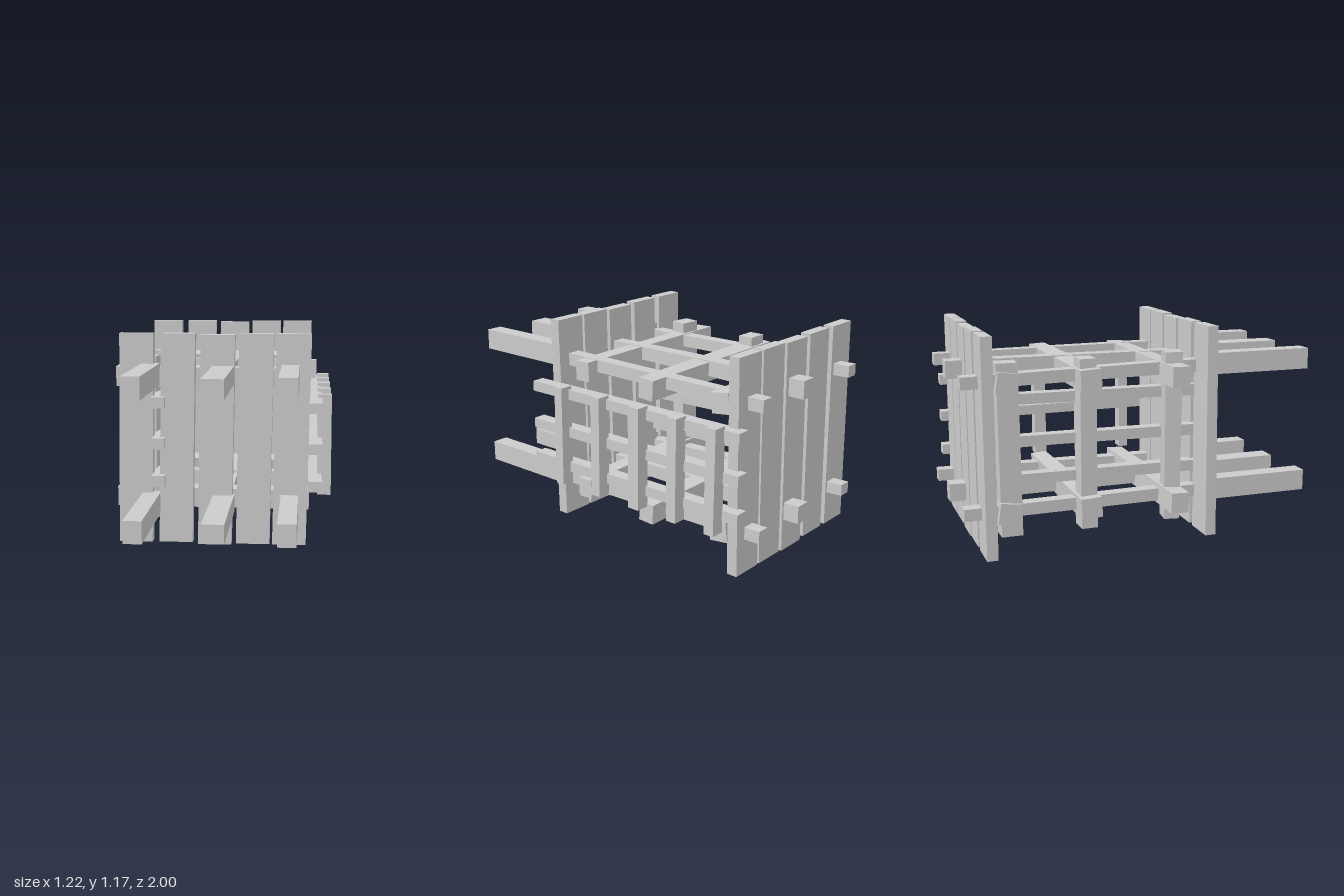
import * as THREE from 'three';

const material = new THREE.MeshStandardMaterial({ color: 0xcccccc, flatShading: true });

// Squared timber from a to b along one axis ('x', 'y' or 'z', b on the positive end).
// sa and sb are the cross-section sizes at each end along the two other axes in x, y, z order.
function timber(name, axis, a, b, sa, sb = sa, twist = 0) {
  const geo = new THREE.BoxGeometry(1, 1, 1);
  const pos = geo.attributes.position;
  const d = 'xyz'.indexOf(axis);
  const [u, v] = [0, 1, 2].filter((i) => i !== d);
  const c = Math.cos(twist), s = Math.sin(twist);
  for (let i = 0; i < pos.count; i++) {
    const q = [pos.getX(i), pos.getY(i), pos.getZ(i)];
    const end = q[d] > 0;
    const size = end ? sb : sa;
    const p = [...(end ? b : a)];
    const du = q[u] * size[0], dv = q[v] * size[1];
    p[u] += du * c - dv * s;
    p[v] += du * s + dv * c;
    pos.setXYZ(i, ...p);
  }
  geo.computeVertexNormals();
  const mesh = new THREE.Mesh(geo, material);
  mesh.name = name;
  return mesh;
}

export function createModel() {
  const model = new THREE.Group();
  model.name = 'timberFrame';
  const add = (...args) => model.add(timber(...args));

  // Plank walls at the front and back, leaning slightly sideways
  const planks = [
    [-0.477, -0.46, 0.01, 1.175], [-0.252, -0.232, 0.012, 1.175], [-0.036, -0.016, 0.003, 1.168],
    [0.176, 0.194, 0.01, 1.175], [0.377, 0.397, 0.01, 1.175],
  ];
  for (const [side, z] of [['front', 0.352], ['back', -0.878]]) {
    for (const [x0, x1, y0, y1] of planks) {
      add(side + 'Plank', 'y', [x0, y0, z], [x1, y1, z], [0.186, 0.06]);
    }
  }

  // Lengthwise beams: thick ends in front, slimmer run through to the back
  const beams = [
    { xf: -0.387, xi: -0.36, xb: -0.435, wf: 0.097, hf: 0.118, wb: 0.072, hb: 0.065 },
    { xf: 0.013, xi: 0.005, xb: 0.005, wf: 0.117, hf: 0.1, wb: 0.09, hb: 0.1 },
    { xf: 0.378, xi: 0.377, xb: 0.375, wf: 0.096, hf: 0.118, wb: 0.07, hb: 0.068 },
  ];
  for (const [level, yf, yb] of [['upper', 0.95, 0.93], ['lower', 0.232, 0.236]]) {
    for (const m of beams) {
      add(level + 'FrontBeam', 'z', [m.xf, yf, 0.34], [m.xf, yf, 1], [m.wf, m.hf]);
      add(level + 'LongBeam', 'z', [m.xb, yb, -1], [m.xi, yf - 0.01, 0.36],
        [m.wb, m.hb], [0.075, 0.07]);
    }
  }

  // Crosswise beams, a little crooked
  const crosses = [
    { x0: -0.61, x1: 0.485, z0: 0.15, z1: 0.15, s0: 0.1, s1: 0.095, t: 0.03 },
    { x0: -0.54, x1: 0.52, z0: -0.328, z1: -0.34, s0: 0.115, s1: 0.095, t: -0.05 },
    { x0: -0.5, x1: 0.46, z0: -0.763, z1: -0.775, s0: 0.115, s1: 0.11, t: 0.13 },
  ];
  for (const [level, y] of [['upper', 0.92], ['lower', 0.228]]) {
    for (const k of crosses) {
      add(level + 'CrossBeam', 'x', [k.x0, y, k.z0], [k.x1, y - 0.005, k.z1],
        [0.112, k.s0], [0.11, k.s1], k.t);
    }
  }

  // Upright posts on the right side
  add('sidePost', 'y', [-0.43, 0.1, 0.16], [-0.43, 1.035, 0.165], [0.11, 0.085], [0.115, 0.095], 0.14);
  add('sidePost', 'y', [-0.43, 0.1, -0.325], [-0.43, 1.025, -0.33], [0.115, 0.09], [0.115, 0.09]);
  add('sidePost', 'y', [-0.43, 0.1, -0.75], [-0.43, 1.025, -0.76], [0.1, 0.115], [0.1, 0.115]);

  // Rails on both sides
  for (const y of [0.8, 0.573, 0.365]) {
    add('rightRail', 'z', [-0.37, y + 0.02, -0.88], [-0.343, y, 0.425], [0.065, 0.055], [0.073, 0.062]);
  }
  for (const y of [0.786, 0.565, 0.36]) {
    add('leftRail', 'z', [0.498, y, -0.95], [0.517, y, 0.475], [0.073, 0.058]);
  }

  // Upright slats of the lattice on the left side
  for (const [z, w] of [[0.228, 0.055], [-0.048, 0.062], [-0.322, 0.07], [-0.58, 0.06], [-0.825, 0.06]]) {
    add('latticeSlat', 'y', [0.568, 0.268, z], [0.566, 0.833, z - 0.004], [0.076, w]);
  }
  return model;
}
